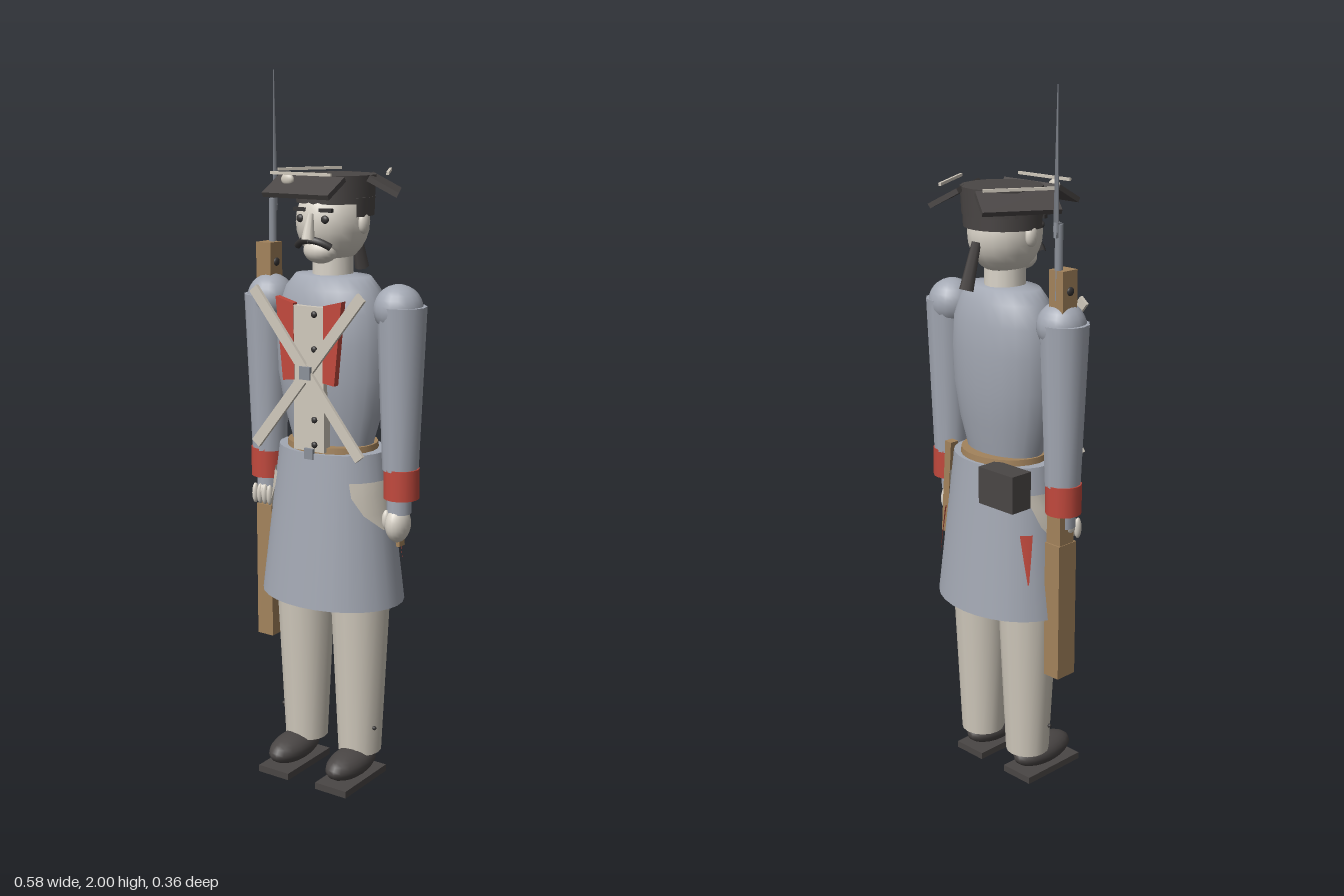
import * as THREE from 'three';

const mat = (name, color, double) => {
  const m = new THREE.MeshStandardMaterial({ color });
  m.name = name;
  if (double) m.side = THREE.DoubleSide;
  return m;
};

export function createModel() {
  const coat = mat('coat blue grey', 0xa3a8b3, true);
  const cream = mat('cream cloth', 0xd0c9bc, true);
  const skin = mat('pale skin', 0xd8d2c7);
  const red = mat('red facing', 0xc2493d, true);
  const black = mat('black felt and leather', 0x4a4645);
  const hair = mat('dark hair', 0x363434);
  const wood = mat('brown wood and leather', 0xa3835c);
  const steel = mat('steel', 0x8c919a);

  const model = new THREE.Group();
  model.name = 'toySoldier';

  // Helpers
  const add = (name, geo, material, x = 0, y = 0, z = 0, parent = model) => {
    const mesh = new THREE.Mesh(geo, material);
    mesh.name = name;
    mesh.position.set(x, y, z);
    parent.add(mesh);
    return mesh;
  };
  const box = (w, h, d) => new THREE.BoxGeometry(w, h, d);
  const cyl = (top, bottom, h, n = 16, open = false) => new THREE.CylinderGeometry(top, bottom, h, n, 1, open);
  const ball = (rx, ry, rz) => new THREE.SphereGeometry(1, 18, 14).scale(rx, ry, rz);
  const plate = (points, depth) => new THREE.ExtrudeGeometry(
    new THREE.Shape(points.map(([x, y]) => new THREE.Vector2(x, y))),
    { depth, bevelEnabled: false });
  const sides = [[-1, 'right'], [1, 'left']];

  // Skirt radii at a given height, shared with the patches laid on it
  const skirtAt = (y) => {
    const t = (0.975 - y) / 0.435;
    return [0.162 + 0.056 * t, 0.125 + 0.04 * t];
  };
  // Curved patch on the skirt; angle is measured from the front towards the side
  const skirtPatch = (sign, rows, lift) => {
    const n = 6, pos = [], index = [];
    rows.forEach(([y, a0, a1]) => {
      const [rx, rz] = skirtAt(y);
      for (let i = 0; i <= n; i++) {
        const a = a0 + (a1 - a0) * i / n;
        pos.push(sign * (rx + lift) * Math.sin(a), y, (rz + lift) * Math.cos(a));
      }
    });
    for (let r = 0; r < rows.length - 1; r++) for (let i = 0; i < n; i++) {
      const a = r * (n + 1) + i, b = a + 1, c = a + n + 1, d = c + 1;
      if (sign > 0) index.push(a, c, b, b, c, d);
      else index.push(a, b, c, b, d, c);
    }
    const g = new THREE.BufferGeometry();
    g.setAttribute('position', new THREE.Float32BufferAttribute(pos, 3));
    g.setIndex(index);
    g.computeVertexNormals();
    return g;
  };

  // Legs, shoes, arms and hands
  for (const [s, side] of sides) {
    add(side + 'Leg', cyl(0.088, 0.063, 0.52), cream, s * 0.094, 0.34, 0);
    add(side + 'Shoe', ball(0.053, 0.042, 0.106), black, s * 0.1, 0.058, 0.055);
    add(side + 'Sole', box(0.105, 0.02, 0.212), black, s * 0.1, 0.01, 0.055);
    add(side + 'GaiterButton', ball(0.006, 0.006, 0.006), hair, s * 0.16, 0.165, 0.025);

    add(side + 'Shoulder', ball(0.068, 0.068, 0.068), coat, s * 0.212, 1.375, 0);
    add(side + 'Sleeve', cyl(0.068, 0.05, 0.45, 12), coat, s * 0.223, 1.16, 0);
    add(side + 'Cuff', cyl(0.05, 0.05, 0.085, 16), red, s * 0.227, 0.898, 0);
    add(side + 'Wrist', cyl(0.034, 0.034, 0.05, 12), coat, s * 0.223, 0.838, 0.005);
  }
  add('leftHand', ball(0.033, 0.052, 0.044), skin, 0.222, 0.782, 0.008);
  add('leftThumb', ball(0.012, 0.028, 0.014), skin, 0.198, 0.795, 0.03);
  add('rightHand', ball(0.03, 0.034, 0.036), skin, -0.222, 0.812, 0.01);
  for (let i = 0; i < 4; i++)
    add('rightFinger', ball(0.009, 0.03, 0.012), skin, -0.247 + i * 0.017, 0.805, 0.038);

  // Coat body, skirt and waist belt
  const profile = [[0.12, 0.96], [0.128, 1], [0.152, 1.08], [0.17, 1.18], [0.174, 1.28],
    [0.168, 1.36], [0.145, 1.42], [0.115, 1.455], [0.05, 1.46]];
  const torso = new THREE.LatheGeometry(profile.map(([r, y]) => new THREE.Vector2(r, y)), 24);
  torso.scale(1, 1, 0.65);
  add('coatBody', torso, coat);
  const skirt = cyl(1, 1, 1, 28, true);
  const sp = skirt.attributes.position;
  for (let i = 0; i < sp.count; i++) {
    const y = sp.getY(i) > 0 ? 0.975 : 0.54;
    const [rx, rz] = skirtAt(y);
    sp.setXYZ(i, sp.getX(i) * rx, y, sp.getZ(i) * rz);
  }
  skirt.computeVertexNormals();
  add('coatSkirt', skirt, coat);
  add('skirtTop', new THREE.CircleGeometry(1, 28).rotateX(-Math.PI / 2).scale(0.162, 1, 0.125), coat, 0, 0.975, 0);
  add('waistBelt', cyl(0.132, 0.136, 0.036, 24).scale(1, 1, 0.86), wood, 0, 0.974, 0);
  add('beltBuckle', box(0.03, 0.03, 0.008), steel, 0.005, 0.974, 0.124);

  // Pocket flaps and red turnbacks on the skirt
  for (const [s, side] of sides) {
    add(side + 'PocketFlap', skirtPatch(s, [[0.9, 0.75, 2.15], [0.86, 0.78, 2], [0.81, 0.98, 1.85], [0.765, 1.35, 1.6]], 0.006), cream);
    add(side + 'Turnback', skirtPatch(s, [[0.79, 2.02, 2.24], [0.72, 2.07, 2.19], [0.65, 2.12, 2.14]], 0.008), red);
  }

  // Waistcoat, buttons and lapels
  add('waistcoat', box(0.1, 0.4, 0.03), cream, 0, 1.18, 0.103);
  for (const y of [1.36, 1.265, 1.16, 1.07, 1.0])
    add('button', ball(0.009, 0.009, 0.007), hair, 0.02, y, 0.12);
  for (const [s, side] of sides) {
    const pts = [[0.05, 1.385], [0.108, 1.4], [0.085, 1.17], [0.047, 1.175]].map(([x, y]) => [s * x, y]);
    add(side + 'Lapel', plate(pts, 0.02), red, 0, 0, 0.1);
  }

  // Crossed chest straps
  for (const [s, side] of sides) {
    const strap = add(side + 'ChestStrap', box(0.03, 0.56, 0.01), cream, 0, 1.2, 0.127 + s * 0.002);
    strap.rotation.z = s * 0.675;
  }
  add('strapBuckle', box(0.036, 0.036, 0.008), steel, 0, 1.2, 0.134);

  // Cartridge pouch and scabbard
  add('cartridgePouch', box(0.13, 0.105, 0.07), black, -0.125, 0.933, -0.125);
  const scabbard = add('scabbard', box(0.024, 0.28, 0.028), wood, 0.182, 0.84, -0.045);
  scabbard.rotation.z = 0.07;

  // Head and face
  add('neck', cyl(0.055, 0.058, 0.12), skin, 0, 1.49, 0);
  add('head', ball(0.098, 0.115, 0.108), skin, 0, 1.6, 0);
  add('chin', ball(0.05, 0.035, 0.04), skin, 0, 1.525, 0.06);
  add('nose', cyl(0.009, 0.018, 0.07, 8), skin, 0, 1.592, 0.112).rotation.x = -0.2;
  for (const [s, side] of sides) {
    add(side + 'Ear', ball(0.014, 0.03, 0.02), skin, s * 0.1, 1.6, 0);
    add(side + 'Eye', ball(0.012, 0.011, 0.008), hair, s * 0.04, 1.612, 0.097);
    add(side + 'Eyebrow', box(0.04, 0.01, 0.012), hair, s * 0.042, 1.636, 0.094);
  }
  const whisker = new THREE.QuadraticBezierCurve3(
    new THREE.Vector3(0, 1.557, 0.112), new THREE.Vector3(0.028, 1.558, 0.11), new THREE.Vector3(0.054, 1.538, 0.09));
  for (const [s, side] of sides) {
    const half = whisker.clone();
    for (const v of [half.v0, half.v1, half.v2]) v.x *= s;
    add(side + 'Moustache', new THREE.TubeGeometry(half, 8, 0.01, 6), hair);
  }
  add('backHair', new THREE.CylinderGeometry(0.112, 0.11, 0.05, 16, 1, false, Math.PI / 2 - 0.4, Math.PI + 0.8), black, 0, 1.642, -0.004);
  add('hairQueue', cyl(0.013, 0.02, 0.13, 6), black, 0, 1.522, -0.125).rotation.x = 0.3;

  // Cocked hat: crown and three drooping brim flaps with pale trim
  add('hatCrown', cyl(0.112, 0.108, 0.075, 16), black, 0, 1.688, -0.012);
  const flaps = [['front', 0, 0, 0.138], ['right', -2.093, -0.12, -0.07], ['left', 2.093, 0.12, -0.07]];
  for (const [name, turn, x, z] of flaps) {
    const g = new THREE.Group();
    g.name = name + 'Brim';
    g.position.set(x, 1.698, z);
    g.rotation.y = turn;
    model.add(g);
    add(name + 'BrimFlap', box(0.212, 0.014, 0.09), black, 0, 0, 0, g).rotation.x = 0.5;
    add(name + 'BrimTrim', box(0.195, 0.008, 0.007), cream, 0, 0.035, 0.012, g);
  }
  add('cockade', ball(0.02, 0.016, 0.01), cream, -0.055, 1.716, 0.133);

  // Musket with fixed bayonet
  add('musketButt', box(0.054, 0.4, 0.068), wood, -0.224, 0.57, -0.006);
  add('musketGrip', box(0.038, 0.06, 0.045), wood, -0.224, 0.78, -0.008);
  add('musketStock', box(0.05, 0.76, 0.055), wood, -0.224, 1.15, -0.008);
  for (const s of [-1, 1])
    add('musketBandStud', ball(0.006, 0.012, 0.012), hair, -0.224 + s * 0.026, 1.475, -0.008);
  add('musketBarrel', cyl(0.011, 0.011, 0.2, 10), steel, -0.223, 1.55, -0.025);
  add('bayonet', cyl(0.0015, 0.009, 0.37, 3), steel, -0.225, 1.815, -0.037);
  add('bayonetSocket', box(0.01, 0.04, 0.02), steel, -0.224, 1.635, -0.032);

  return model;
}
